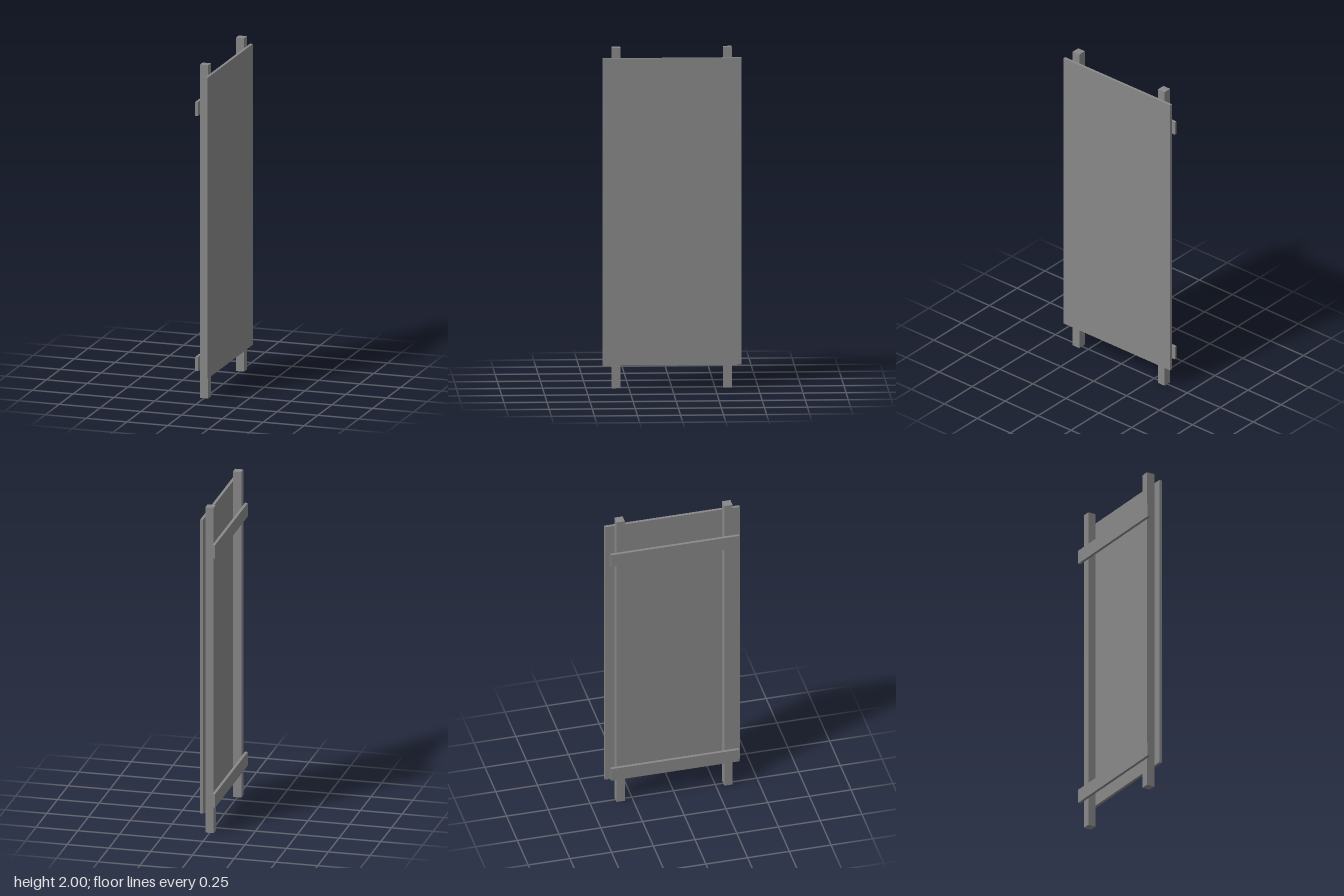
import * as THREE from 'three';

const material = new THREE.MeshStandardMaterial({ color: 0x888888 });

// Box given by its size and centre
function box(name, [w, h, d], [x, y, z]) {
  const mesh = new THREE.Mesh(new THREE.BoxGeometry(w, h, d), material);
  mesh.name = name;
  mesh.position.set(x, y, z);
  return mesh;
}

export function createModel() {
  const model = new THREE.Group();
  model.name = 'panelOnPosts';

  // Flat board on the +x side
  model.add(box('panel', [0.017, 1.806, 0.809], [0.0335, 1.038, 0]));

  // Two square uprights, longer than the board at both ends
  for (const side of [1, -1]) {
    model.add(box(side > 0 ? 'frontPost' : 'backPost', [0.05, 2, 0.05], [0, 1, side * 0.323]));
  }

  // Two cross rails on the -x side
  model.add(box('lowerRail', [0.017, 0.083, 0.768], [-0.0335, 0.212, 0]));
  model.add(box('upperRail', [0.017, 0.083, 0.768], [-0.0335, 1.742, 0]));

  return model;
}
